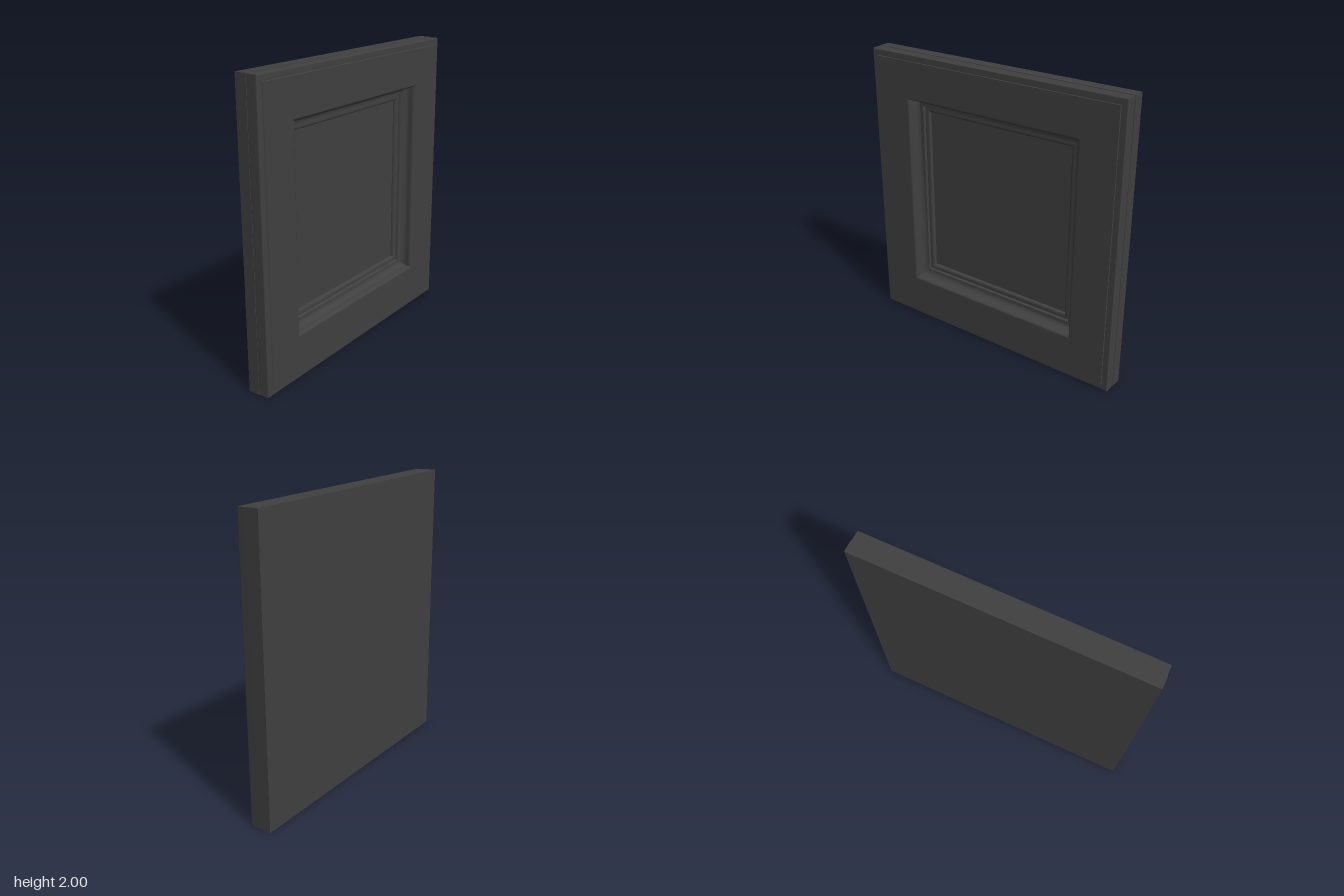
import * as THREE from 'three';
import { toCreasedNormals } from 'three/addons/utils/BufferGeometryUtils.js';

const HALF_Z = 0.97, HALF_Y = 1, BACK = -0.08, FACE = 0.08, PANEL = -0.04;
const PANEL_INSET = 0.405;

// Rectangle corners at a given inset from the outer edge and a given depth x
const ring = (inset, x) => {
  const z = HALF_Z - inset, y = HALF_Y - inset;
  return [[x, 1 - y, z], [x, 1 - y, -z], [x, 1 + y, -z], [x, 1 + y, z]];
};

// Sweep a profile of (inset, x) points around the rectangle with mitred corners
function mitredSweep(points) {
  const pos = [];
  for (let i = 0; i < points.length - 1; i++) {
    const o = ring(points[i].x, points[i].y);
    const n = ring(points[i + 1].x, points[i + 1].y);
    for (let k = 0; k < 4; k++) {
      const m = (k + 1) % 4;
      pos.push(...o[k], ...o[m], ...n[m], ...o[k], ...n[m], ...n[k]);
    }
  }
  const geo = new THREE.BufferGeometry();
  geo.setAttribute('position', new THREE.Float32BufferAttribute(pos, 3));
  return toCreasedNormals(geo, 0.6);
}

export function createModel() {
  const group = new THREE.Group();
  const material = new THREE.MeshStandardMaterial({ color: 0x404040 });
  const add = (name, geo) => {
    const mesh = new THREE.Mesh(geo, material);
    mesh.name = name;
    group.add(mesh);
    return mesh;
  };

  // Outer edge and flat frame, with a shallow lip around the rim
  const frame = new THREE.Path();
  frame.moveTo(0, BACK);
  frame.lineTo(0, 0);
  frame.lineTo(0.003, 0);
  frame.lineTo(0.003, 0.068);
  frame.quadraticCurveTo(0.003, 0.075, 0.01, 0.075);
  frame.lineTo(0.045, 0.075);
  frame.lineTo(0.048, FACE);
  frame.lineTo(0.295, FACE);
  add('frame', mitredSweep(frame.getPoints(6)));

  // Stepped moulding falling from the frame to the panel
  const moulding = new THREE.Path();
  moulding.moveTo(0.295, FACE);
  moulding.quadraticCurveTo(0.315, FACE, 0.315, 0.05);
  moulding.lineTo(0.315, 0.035);
  moulding.quadraticCurveTo(0.325, 0, 0.365, -0.002);
  moulding.lineTo(0.37, -0.018);
  moulding.quadraticCurveTo(0.402, -0.012, 0.405, -0.03);
  moulding.lineTo(PANEL_INSET, PANEL);
  add('moulding', mitredSweep(moulding.getPoints(8)));

  // Recessed flat panel
  const panel = add('centrePanel', new THREE.PlaneGeometry(
    2 * (HALF_Z - PANEL_INSET), 2 * (HALF_Y - PANEL_INSET)));
  panel.rotation.y = Math.PI / 2;
  panel.position.set(PANEL, 1, 0);

  // Plain back
  const back = add('back', new THREE.PlaneGeometry(2 * HALF_Z, 2 * HALF_Y));
  back.rotation.y = -Math.PI / 2;
  back.position.set(BACK, 1, 0);

  return group;
}
